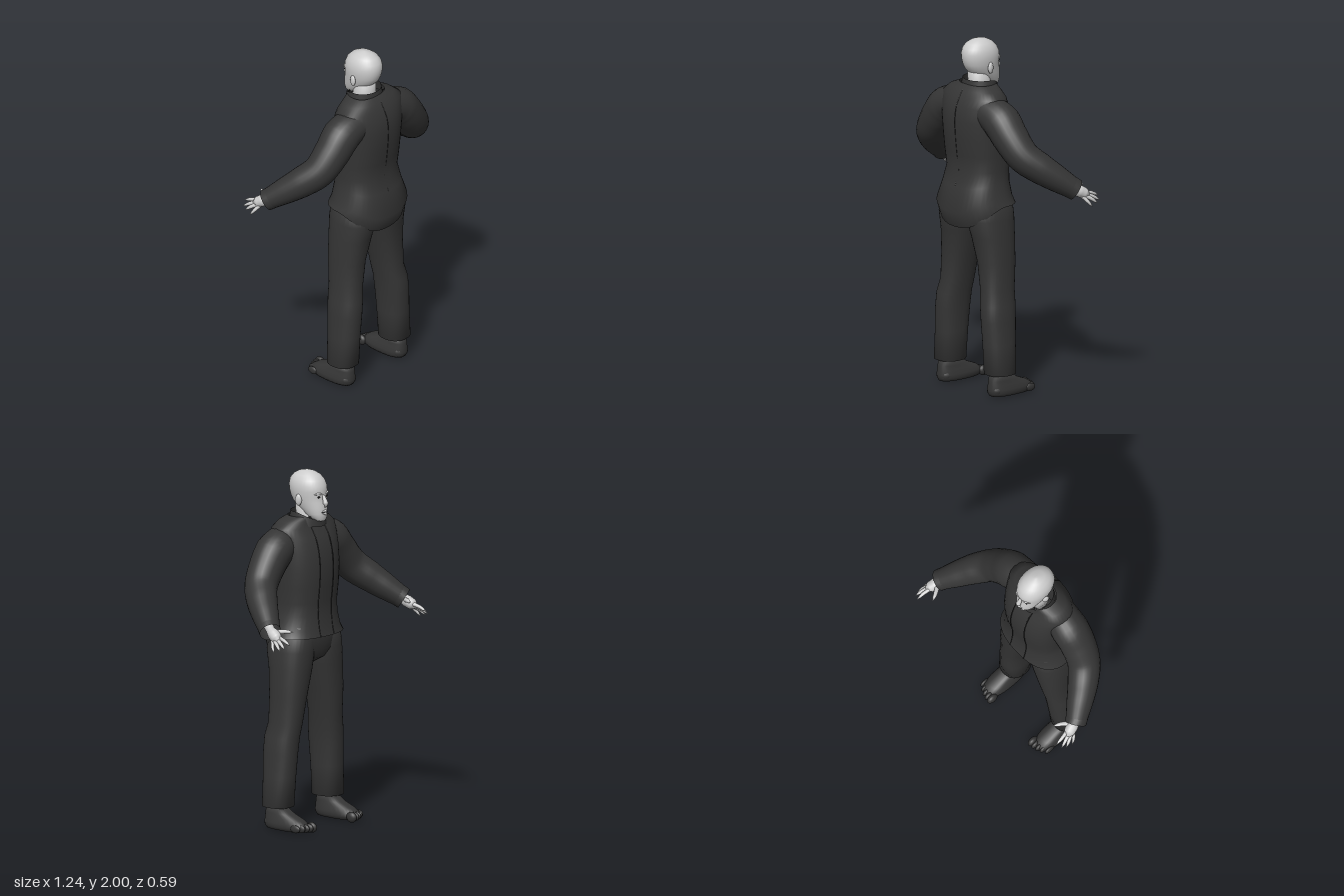
import * as THREE from 'three';
import { mergeVertices } from 'three/addons/utils/BufferGeometryUtils.js';

const mat = (name, color) => Object.assign(new THREE.MeshStandardMaterial({ color }), { name });

// Superellipse ring point factor
const pw = (v, n) => Math.sign(v) * Math.pow(Math.abs(v), 2 / n);

// Stacked rings, rows ascending: [y, centreX, halfWidth, zFront, zBack, drop]
// drop lowers the back of a ring (positive) or its front (negative)
function loft(rows, { n = 2, seg = 32, caps = true } = {}) {
  const pos = [], idx = [];
  for (const [y, cx, hw, zf, zb, drop = 0] of rows) {
    for (let j = 0; j < seg; j++) {
      const a = (j / seg) * Math.PI * 2, s = Math.sin(a);
      const d = Math.abs(drop) * Math.pow(Math.max(0, s * Math.sign(drop)), 1.5);
      pos.push(cx + hw * pw(Math.cos(a), n), y - d, (zf + zb) / 2 + ((zb - zf) / 2) * pw(s, n));
    }
  }
  for (let i = 0; i < rows.length - 1; i++) {
    for (let j = 0; j < seg; j++) {
      const k = (j + 1) % seg, a = i * seg + j, b = i * seg + k;
      idx.push(a, a + seg, b, b, a + seg, b + seg);
    }
  }
  if (caps) {
    [rows[0], rows[rows.length - 1]].forEach(([y, cx, , zf, zb], e) => {
      const c = pos.length / 3, base = e ? (rows.length - 1) * seg : 0;
      pos.push(cx, y, (zf + zb) / 2);
      for (let j = 0; j < seg; j++) {
        const a = base + j, b = base + ((j + 1) % seg);
        e ? idx.push(a, c, b) : idx.push(a, b, c);
      }
    });
  }
  const g = new THREE.BufferGeometry();
  g.setAttribute('position', new THREE.Float32BufferAttribute(pos, 3));
  g.setIndex(idx);
  g.computeVertexNormals();
  return g;
}

// Tube through points [x, y, z, radius]; side mirrors x
function limb(points, side = 1, steps = 20, seg = 14) {
  const curve = new THREE.CatmullRomCurve3(points.map(([x, y, z]) => new THREE.Vector3(x * side, y, z)));
  let g = new THREE.TubeGeometry(curve, steps, 1, seg, false);
  const p = g.attributes.position, v = new THREE.Vector3();
  for (let i = 0; i <= steps; i++) {
    const t = i / steps, c = curve.getPointAt(t), f = t * (points.length - 1);
    const k = Math.min(Math.floor(f), points.length - 2);
    const r = THREE.MathUtils.lerp(points[k][3], points[k + 1][3], f - k);
    for (let j = 0; j <= seg; j++) {
      const q = i * (seg + 1) + j;
      v.fromBufferAttribute(p, q).sub(c).multiplyScalar(r).add(c);
      p.setXYZ(q, v.x, v.y, v.z);
    }
  }
  g.deleteAttribute('uv');
  g.deleteAttribute('normal');
  g = mergeVertices(g, 1e-5);
  g.computeVertexNormals();
  return g;
}

export function createModel() {
  const model = new THREE.Group();
  const skin = mat('pale skin', 0xcccccc);
  const suit = mat('charcoal cloth', 0x353535);
  const dark = mat('dark detail', 0x222222);
  suit.side = THREE.DoubleSide;

  const add = (name, geo, material) => {
    const m = new THREE.Mesh(geo, material);
    m.name = name;
    model.add(m);
    return m;
  };
  const ball = (name, material, p, s) => {
    const m = add(name, new THREE.SphereGeometry(1, 16, 12), material);
    m.position.set(...p);
    m.scale.set(...s);
    return m;
  };

  // Jacket body with flared hem and dropped tail
  const jacket = [
    [1.08, 0, 0.235, -0.08, 0.25, 0.13], [1.12, 0, 0.22, -0.07, 0.285, 0.08],
    [1.2, 0, 0.195, -0.06, 0.25, 0.02], [1.27, 0, 0.188, -0.06, 0.222],
    [1.36, 0, 0.195, -0.07, 0.235], [1.46, 0, 0.2, -0.075, 0.246],
    [1.56, 0, 0.205, -0.065, 0.252], [1.64, 0, 0.21, -0.04, 0.24],
    [1.69, 0, 0.215, -0.01, 0.215], [1.725, 0, 0.17, 0, 0.195], [1.75, 0, 0.11, 0, 0.165],
  ];
  add('jacket', loft(jacket, { n: 2.4, seg: 40, caps: false }), suit);
  add('collar', loft([[1.71, 0, 0.112, -0.03, 0.17, -0.02], [1.775, 0, 0.1, -0.025, 0.16, -0.045]], { caps: false }), suit);

  // Jacket front edges and back seam
  for (const s of [-1, 1]) {
    add('jacketFrontEdge', limb(jacket.map(([y, , hw, zf, zb]) => {
      const k = Math.pow(1 - Math.pow(0.055 / hw, 2.4), 1 / 2.4);
      return [0.055, y, (zf + zb) / 2 - k * (zb - zf) / 2, 0.003];
    }), s, 40, 6), dark);
  }
  add('backSeam', limb(jacket.slice(2, 10).map(([y, , , , zb, d = 0]) => [0, y - d, zb - 0.001, 0.0025]), 1, 40, 6), dark);

  // Trouser seat
  add('trouserSeat', loft([
    [0.92, 0, 0.03, 0.03, 0.13], [0.95, 0, 0.1, -0.02, 0.19], [1.0, 0, 0.19, -0.045, 0.225],
    [1.07, 0, 0.215, -0.05, 0.24], [1.15, 0, 0.19, -0.045, 0.22],
  ], { n: 2.3 }), suit);

  // Head, jaw to crown
  add('head', loft([
    [1.724, 0, 0.022, -0.048, 0], [1.735, 0, 0.04, -0.056, 0.03], [1.765, 0, 0.058, -0.06, 0.08],
    [1.8, 0, 0.068, -0.058, 0.125], [1.83, 0, 0.077, -0.053, 0.155], [1.86, 0, 0.083, -0.048, 0.17],
    [1.89, 0, 0.087, -0.052, 0.178], [1.92, 0, 0.087, -0.047, 0.18], [1.95, 0, 0.079, -0.033, 0.173],
    [1.975, 0, 0.062, -0.008, 0.152], [1.992, 0, 0.037, 0.025, 0.12], [2, 0, 0.008, 0.06, 0.08],
  ], { n: 2.1 }), skin);
  add('neck', loft([[1.68, 0, 0.07, -0.005, 0.14], [1.74, 0, 0.062, 0.005, 0.135], [1.83, 0, 0.062, 0.005, 0.14]]), skin);
  add('nose', limb([[0, 1.872, -0.044, 0.007], [0, 1.84, -0.058, 0.011], [0, 1.817, -0.064, 0.015], [0, 1.803, -0.056, 0.002]]), skin);
  add('upperLip', limb([[-0.026, 1.778, -0.05, 0.002], [0, 1.783, -0.061, 0.007], [0.026, 1.778, -0.05, 0.002]]), skin);
  add('lowerLip', limb([[-0.024, 1.774, -0.05, 0.002], [0, 1.768, -0.061, 0.008], [0.024, 1.774, -0.05, 0.002]]), skin);
  add('mouthLine', limb([[-0.025, 1.776, -0.053, 0.001], [0, 1.776, -0.067, 0.002], [0.025, 1.776, -0.053, 0.001]], 1, 12, 6), dark);

  for (const s of [-1, 1]) {
    // Face pairs
    ball('eye', dark, [s * 0.032, 1.862, -0.041], [0.012, 0.005, 0.004]);
    add('brow', limb([[0.012, 1.876, -0.046, 0.004], [0.035, 1.882, -0.043, 0.007], [0.058, 1.876, -0.025, 0.002]], s), skin);
    ball('ear', skin, [s * 0.085, 1.842, 0.062], [0.012, 0.033, 0.02]).rotation.y = s * 0.3;

    // Sleeve, cuff and inner wrist
    add('sleeve', limb([
      [0.13, 1.615, 0.12, 0.095], [0.225, 1.575, 0.11, 0.107], [0.3, 1.495, 0.105, 0.1], [0.38, 1.4, 0.08, 0.092],
      [0.45, 1.33, 0.01, 0.086], [0.51, 1.265, -0.07, 0.074], [0.56, 1.21, -0.14, 0.058],
    ], s, 30, 24), suit);
    add('cuff', limb([[0.548, 1.224, -0.122, 0.062], [0.564, 1.205, -0.147, 0.06]], s, 2, 24), suit);
    add('palm', limb([
      [0.54, 1.235, -0.11, 0.026], [0.555, 1.21, -0.145, 0.026], [0.566, 1.19, -0.18, 0.034],
      [0.578, 1.17, -0.215, 0.031], [0.585, 1.158, -0.232, 0.002],
    ], s), skin);

    // Thumb, then index to little finger
    [
      [[0.55, 1.205, -0.165], [0.515, 1.21, -0.215], [0.494, 1.208, -0.255], 0.013],
      [[0.562, 1.185, -0.205], [0.571, 1.172, -0.255], [0.574, 1.152, -0.3], 0.011],
      [[0.576, 1.175, -0.205], [0.592, 1.155, -0.25], [0.602, 1.132, -0.285], 0.011],
      [[0.583, 1.168, -0.195], [0.603, 1.145, -0.232], [0.613, 1.12, -0.26], 0.011],
      [[0.582, 1.165, -0.18], [0.606, 1.135, -0.2], [0.618, 1.107, -0.22], 0.01],
    ].forEach(([a, b, c, r], i) => {
      const m = b.map((v, k) => (v + c[k]) / 2), e = m.map((v, k) => v * 0.3 + c[k] * 0.7);
      add(i ? 'finger' : 'thumb', limb([[...a, r * 1.2], [...b, r], [...m, r * 0.95], [...e, r * 0.75], [...c, 0.001]], s, 14, 10), skin);
    });

    // Trouser leg
    add('trouserLeg', loft([
      [0.13, 0.21, 0.083, 0.015, 0.19], [0.3, 0.2, 0.077, 0.005, 0.196], [0.43, 0.192, 0.078, -0.003, 0.202],
      [0.52, 0.183, 0.079, -0.008, 0.2], [0.6, 0.167, 0.077, -0.016, 0.185], [0.75, 0.152, 0.09, -0.03, 0.186],
      [0.9, 0.128, 0.106, -0.04, 0.205], [1, 0.115, 0.112, -0.046, 0.23], [1.14, 0.105, 0.1, -0.04, 0.22],
    ].map(([y, cx, ...r]) => [y, s * cx, ...r]), { n: 2.3 }), suit);

    // Ankle and dark foot with toes
    add('ankle', loft([[0.08, s * 0.215, 0.04, 0.045, 0.155], [0.2, s * 0.212, 0.042, 0.045, 0.15]]), skin);
    add('foot', loft([
      [0.008, 0.055, -0.1, 0.17], [0.025, 0.064, -0.118, 0.18], [0.045, 0.063, -0.112, 0.182],
      [0.07, 0.056, -0.075, 0.18], [0.095, 0.048, -0.01, 0.178], [0.122, 0.042, 0.035, 0.172],
    ].map(([y, ...r]) => [y, s * 0.213, ...r]), { n: 2.5 }), suit);
    [0.02, 0.015, 0.014, 0.013, 0.012].forEach((r, i) => {
      ball('toe', suit, [s * (0.168 + i * 0.0245), 0.03, -0.106 + i * i * 0.0022], [r, r + 0.01, 0.034]);
    });
    ball('heel', suit, [s * 0.213, 0.04, 0.14], [0.05, 0.04, 0.042]);
  }

  return model;
}
